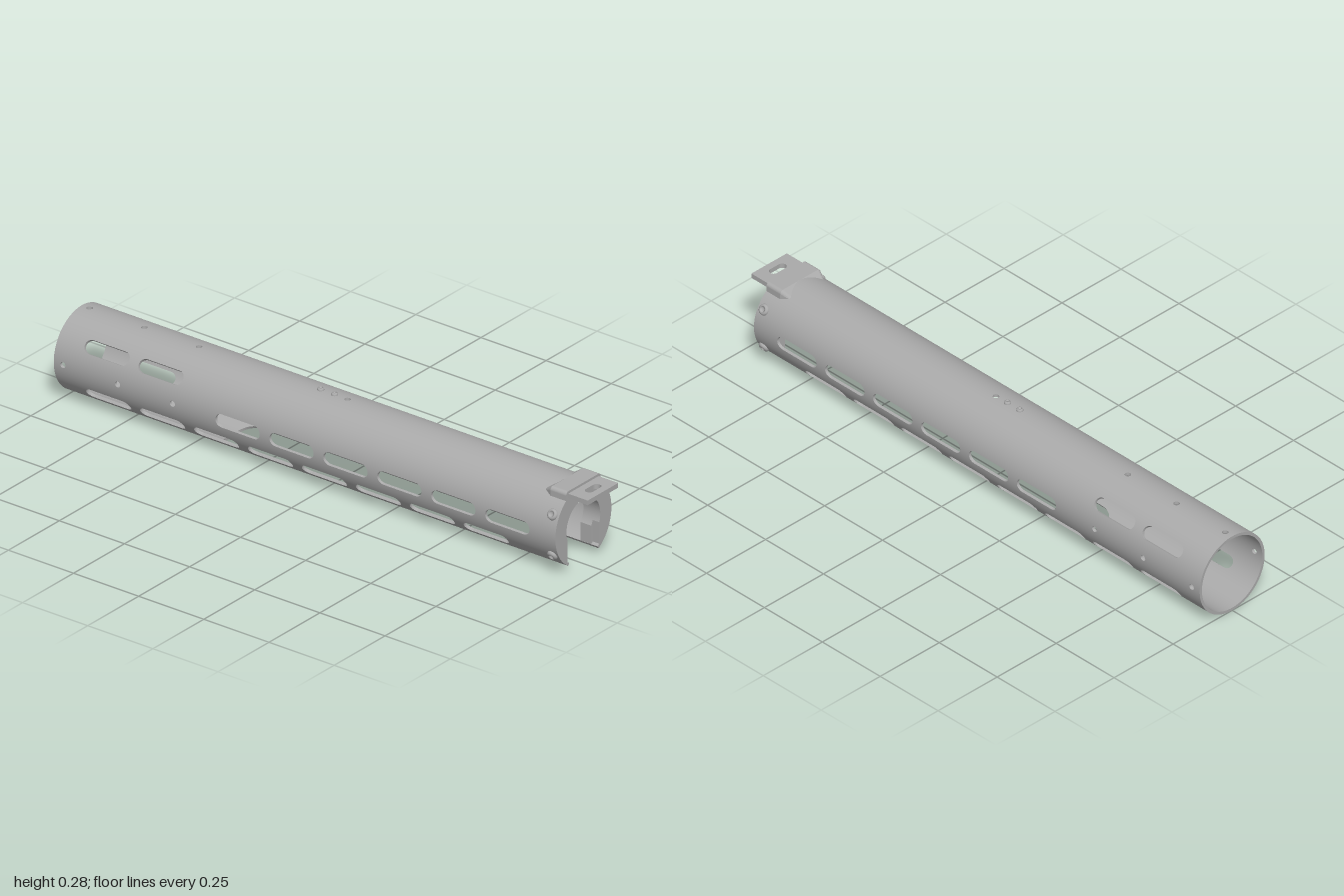
import * as THREE from 'three';

const R = 0.1375, RI = 0.128, CY = 0.1375;   // tube radii and axis height
const BACK = -1, FRONT = 0.925;
const rad = Math.PI / 180;

const grey = new THREE.MeshStandardMaterial({ color: 0xaaaaaa });
grey.name = 'satin grey';

// Every opening: angle in degrees (0 = left side, 90 = top), centre z, length, half width
function listOpenings() {
  const list = [];
  const add = (deg, z, len, hw) => list.push({ a: deg * rad, z, len, hw });
  for (const side of [0, 1]) {
    const m = deg => (side ? 180 - deg : deg);
    for (let i = 0; i < 6; i++) add(m(0), 0.74 - i * 0.207, 0.17, 0.0225);
    for (let i = 0; i < 8; i++) add(m(-35), 0.64 - i * 0.207, 0.17, 0.0225);
    for (let i = 0; i < 2; i++) add(m(35), -0.608 - i * 0.207, 0.17, 0.0225);
    for (let i = 0; i < 3; i++) add(m(0), -0.545 - i * 0.21, 0.02, 0.01);
  }
  for (let i = 0; i < 3; i++) add(90, -0.55 - i * 0.21, 0.02, 0.01);
  add(90, 0.02, 0.02, 0.01);
  return list;
}

// Front limit of the tube wall; the underside is cut away with rounded corners
const CUT = 33 * rad, FLAT = 8 * rad;
function frontLimit(t, inCut) {
  if (!inCut) return FRONT;
  const d = Math.min(Math.abs(t + Math.PI / 2), Math.abs(t - 1.5 * Math.PI));
  const k = THREE.MathUtils.clamp((d - FLAT) / (CUT - FLAT), 0, 1);
  return -0.43 + 0.06 * (1 - Math.sqrt(1 - k * k));
}

// Half length of an opening at angle t
function reach(o, t) {
  const s = Math.min(Math.abs(t - o.a) * R, o.hw);
  return o.len / 2 - o.hw + Math.sqrt(o.hw * o.hw - s * s);
}

// Tube wall made of lengthwise strips, interrupted by the openings
function tubeGeometry() {
  const openings = listOpenings(), pos = [], nor = [];
  const P = (r, t, z) => new THREE.Vector3(r * Math.cos(t), CY + r * Math.sin(t), z);

  function quad(pts, hint, radial = 0) {
    const n = pts[2].clone().sub(pts[0]).cross(pts[3].clone().sub(pts[1])).normalize();
    if (n.dot(hint) < 0) { pts.reverse(); n.negate(); }
    for (const i of [0, 1, 2, 0, 2, 3]) {
      const p = pts[i];
      pos.push(p.x, p.y, p.z);
      const v = radial ? new THREE.Vector3(p.x, p.y - CY, 0).normalize().multiplyScalar(radial) : n;
      nor.push(v.x, v.y, v.z);
    }
  }
  const endWall = (t0, t1, z0, z1, dir) =>
    quad([P(R, t0, z0), P(R, t1, z1), P(RI, t1, z1), P(RI, t0, z0)], new THREE.Vector3(0, 0, dir));
  const sideWall = (t, z0, z1, dir) =>
    quad([P(R, t, z0), P(R, t, z1), P(RI, t, z1), P(RI, t, z0)],
      new THREE.Vector3(-Math.sin(t) * dir, Math.cos(t) * dir, 0));

  // Strip boundaries
  const cuts = [];
  for (let d = -90; d <= 270; d += 4) cuts.push(d * rad);
  for (let i = 0; i <= 8; i++) {
    const d = FLAT + (CUT - FLAT) * Math.sin(i / 8 * Math.PI / 2);
    cuts.push(-Math.PI / 2 + d, 1.5 * Math.PI - d);
  }
  for (const o of openings)
    for (let i = -6; i <= 6; i++) cuts.push(o.a + o.hw / R * Math.sin(i / 6 * Math.PI / 2));
  cuts.sort((a, b) => a - b);
  const edges = cuts.filter((t, i) => i === 0 || t - cuts[i - 1] > 1e-6);

  for (let i = 0; i < edges.length - 1; i++) {
    const t0 = edges[i], t1 = edges[i + 1], tm = (t0 + t1) / 2;
    const inCut = tm < -Math.PI / 2 + CUT || tm > 1.5 * Math.PI - CUT;
    const out = new THREE.Vector3(Math.cos(tm), Math.sin(tm), 0), inw = out.clone().negate();
    let z0 = BACK, z1 = BACK;
    const span = (e0, e1) => {
      quad([P(R, t0, z0), P(R, t1, z1), P(R, t1, e1), P(R, t0, e0)], out, 1);
      quad([P(RI, t0, z0), P(RI, t1, z1), P(RI, t1, e1), P(RI, t0, e0)], inw, -1);
      endWall(t0, t1, z0, z1, -1);
      endWall(t0, t1, e0, e1, 1);
    };
    openings.filter(o => Math.abs(tm - o.a) < o.hw / R).sort((a, b) => a.z - b.z).forEach(o => {
      const h0 = reach(o, t0), h1 = reach(o, t1);
      span(o.z - h0, o.z - h1);
      z0 = o.z + h0; z1 = o.z + h1;
    });
    span(frontLimit(t0, inCut), frontLimit(t1, inCut));
  }

  // Straight long walls of the slots and of the underside cut
  for (const o of openings) {
    const h = o.len / 2 - o.hw, w = o.hw / R;
    if (h < 0.001) continue;
    sideWall(o.a - w, o.z - h, o.z + h, 1);
    sideWall(o.a + w, o.z - h, o.z + h, -1);
  }
  sideWall(-Math.PI / 2 + CUT, -0.37, FRONT, -1);
  sideWall(1.5 * Math.PI - CUT, -0.37, FRONT, 1);

  const g = new THREE.BufferGeometry();
  g.setAttribute('position', new THREE.Float32BufferAttribute(pos, 3));
  g.setAttribute('normal', new THREE.Float32BufferAttribute(nor, 3));
  return g;
}

// Horseshoe-shaped collar slice with a straight-sided mouth of half width w
function collarGeometry(w, depth) {
  const ro = 0.1285, ri = 0.083;
  const ao = -Math.acos(w / ro), ai = -Math.acos(w / ri);
  const s = new THREE.Shape();
  s.absarc(0, 0, ro, ao, Math.PI - ao, false);
  s.absarc(0, 0, ri, Math.PI - ai, ai, true);
  return new THREE.ExtrudeGeometry(s, { depth, bevelEnabled: false, curveSegments: 64 });
}

// Outline with rounded top corners
function topRounded(w, y0, y1, r) {
  const s = new THREE.Shape();
  s.moveTo(-w, y0); s.lineTo(w, y0); s.lineTo(w, y1 - r);
  s.absarc(w - r, y1 - r, r, 0, Math.PI / 2, false);
  s.absarc(-w + r, y1 - r, r, Math.PI / 2, Math.PI, false);
  s.closePath();
  return s;
}

// Domed screw head with a socket, pointing outward at an angle around the tube
function screwHead(deg, z, r, h) {
  const profile = [[0, 0.3], [0.45, 0.3], [0.45, 1], [0.7, 0.95], [0.92, 0.6], [1, 0.1], [1, -0.8]];
  const pts = profile.map(([a, b]) => new THREE.Vector2(a * r, b * h)).reverse();
  const g = new THREE.LatheGeometry(pts, 24);
  const m = new THREE.Mesh(g, grey);
  m.position.set(R * Math.cos(deg * rad), CY + R * Math.sin(deg * rad), z);
  m.rotation.z = (deg - 90) * rad;
  return m;
}

export function createModel() {
  const model = new THREE.Group();
  const add = (geo, name, x = 0, y = 0, z = 0) => {
    const m = new THREE.Mesh(geo, grey);
    m.name = name;
    m.position.set(x, y, z);
    model.add(m);
    return m;
  };

  add(tubeGeometry(), 'slottedTube');

  // Front collar, its mouth slightly wider at the face
  add(collarGeometry(0.07, 0.04), 'collarRear', 0, CY, 0.86);
  add(collarGeometry(0.078, 0.025), 'collarFace', 0, CY, 0.9);

  // Top block, its rear end sloping down into the tube
  const block = new THREE.ExtrudeGeometry(topRounded(0.085, 0.235, 0.275, 0.012),
    { depth: 0.06, bevelEnabled: false, curveSegments: 8 });
  add(block, 'topBlock', 0, 0, 0.865);
  const ramp = new THREE.ExtrudeGeometry(topRounded(0.085, 0.235, 0.275, 0.012),
    { depth: 0.035, bevelEnabled: false, curveSegments: 8 });
  const p = ramp.attributes.position;
  for (let i = 0; i < p.count; i++)
    if (p.getZ(i) < 0.01) p.setXY(i, p.getX(i) * 0.82, 0.235 + (p.getY(i) - 0.235) * 0.45);
  ramp.computeVertexNormals();
  add(ramp, 'blockRamp', 0, 0, 0.83);

  // Flat tongue with a slot
  const tongue = new THREE.Shape();
  tongue.moveTo(-0.075, 0.91); tongue.lineTo(0.075, 0.91);
  tongue.lineTo(0.075, 1); tongue.lineTo(-0.075, 1); tongue.closePath();
  const slot = new THREE.Path();
  slot.absarc(0.018, 0.962, 0.014, -Math.PI / 2, Math.PI / 2, false);
  slot.absarc(-0.018, 0.962, 0.014, Math.PI / 2, 1.5 * Math.PI, false);
  slot.closePath();
  tongue.holes.push(slot);
  const tongueGeo = new THREE.ExtrudeGeometry(tongue, { depth: 0.016, bevelEnabled: false });
  tongueGeo.rotateX(Math.PI / 2);
  add(tongueGeo, 'tongue', 0, 0.267, 0);

  // Collar screws and the two small studs on top
  for (const deg of [30, -30, 150, 210]) {
    const s = screwHead(deg, 0.9, 0.018, 0.009);
    s.name = 'collarScrew';
    model.add(s);
  }
  for (const z of [-0.03, -0.083]) {
    const s = screwHead(90, z, 0.011, 0.008);
    s.name = 'topStud';
    model.add(s);
  }
  return model;
}
